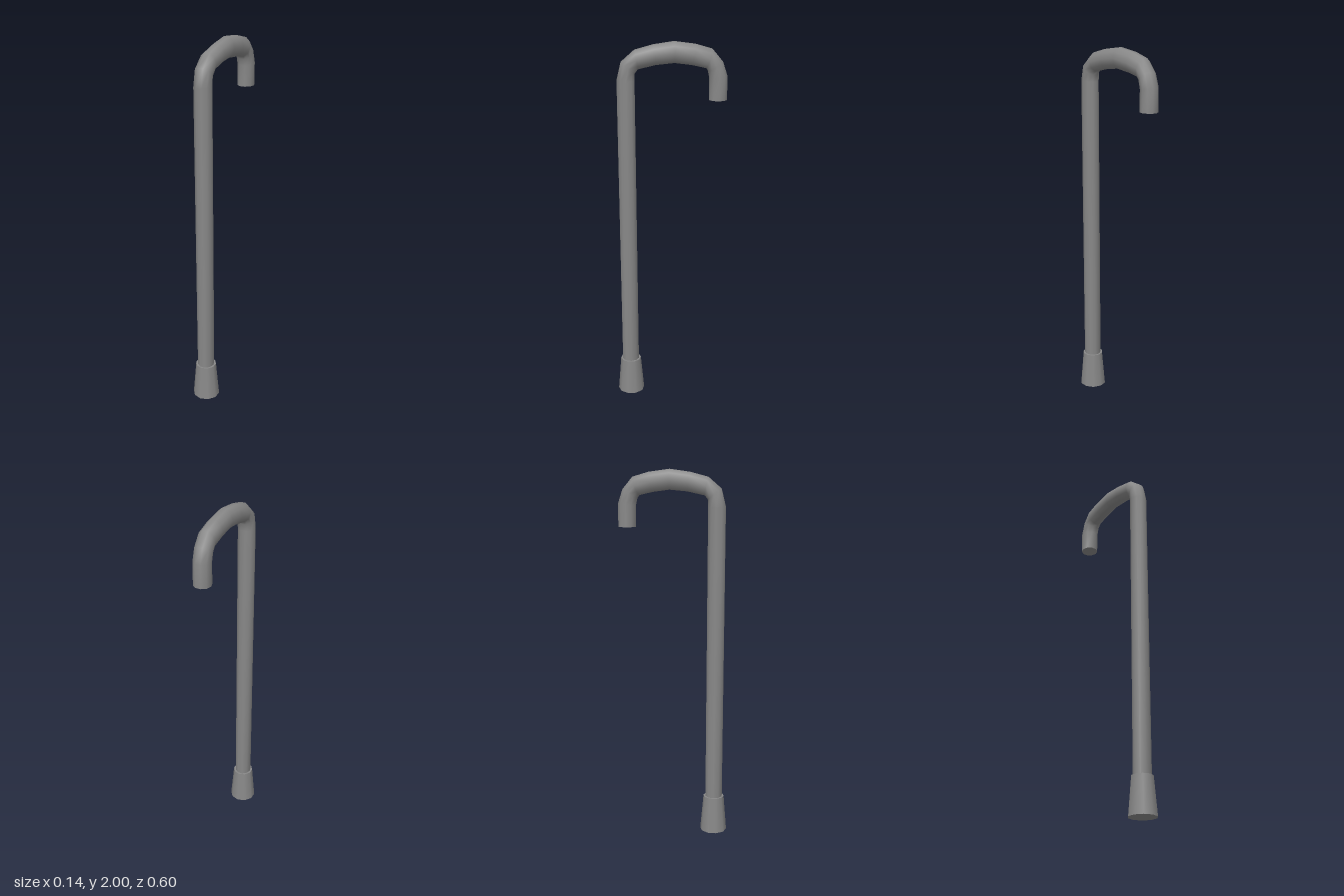
import * as THREE from 'three';

const SIDES = 10;
const TUBE_HALF_WIDTH = 0.046;
const SHAFT_Z = 0.224;

// Each ring: outer edge [z, y] and inner edge [z, y] of the bent tube
const RINGS = [
  [0.27, 0.1, 0.179, 0.1],
  [0.27, 1.807, 0.179, 1.807],
  [0.247, 1.9, 0.178, 1.844],
  [0.177, 1.96, 0.161, 1.865],
  [0.082, 1.985, 0.071, 1.885],
  [-0.024, 2.0, -0.024, 1.894],
  [-0.135, 1.985, -0.114, 1.882],
  [-0.22, 1.96, -0.188, 1.865],
  [-0.273, 1.897, -0.199, 1.849],
  [-0.298, 1.823, -0.207, 1.812],
  [-0.298, 1.7, -0.207, 1.7],
];

// Ten-sided ring with flats on the outer and inner bend
function ringPoints([oz, oy, iz, iy]) {
  const flat = Math.sin(Math.PI * 0.4);
  return Array.from({ length: SIDES }, (_, j) => {
    const a = (j / SIDES) * Math.PI * 2;
    const s = Math.sin(a) / flat / 2;
    return [
      Math.cos(a) * TUBE_HALF_WIDTH,
      (oy + iy) / 2 + (oy - iy) * s,
      (oz + iz) / 2 + (oz - iz) * s,
    ];
  });
}

function sweepGeometry(rings) {
  const loops = rings.map(ringPoints);
  const points = loops.flat();
  const index = [];
  for (let i = 0; i < rings.length - 1; i++) {
    for (let j = 0; j < SIDES; j++) {
      const a = i * SIDES + j;
      const b = i * SIDES + ((j + 1) % SIDES);
      index.push(a, a + SIDES, b, b, a + SIDES, b + SIDES);
    }
  }
  // End caps on their own vertices, so their rims stay sharp
  for (const [loop, isEnd] of [[loops[0], false], [loops.at(-1), true]]) {
    const base = points.length;
    points.push(...loop);
    for (let j = 1; j < SIDES - 1; j++) {
      if (isEnd) index.push(base, base + j + 1, base + j);
      else index.push(base, base + j, base + j + 1);
    }
  }
  const geometry = new THREE.BufferGeometry();
  geometry.setAttribute('position', new THREE.Float32BufferAttribute(points.flat(), 3));
  geometry.setIndex(index);
  geometry.computeVertexNormals();
  return geometry;
}

export function createModel() {
  const group = new THREE.Group();
  group.name = 'walkingCane';
  const material = new THREE.MeshStandardMaterial({ color: 0x888888 });

  // Straight shaft bending over into the hooked handle
  const tube = new THREE.Mesh(sweepGeometry(RINGS), material);
  tube.name = 'shaftAndHandle';
  group.add(tube);

  // Tapered foot
  const foot = new THREE.Mesh(new THREE.CylinderGeometry(0.057, 0.074, 0.2, SIDES), material);
  foot.name = 'footTip';
  foot.position.set(0, 0.1, SHAFT_Z);
  group.add(foot);

  return group;
}
